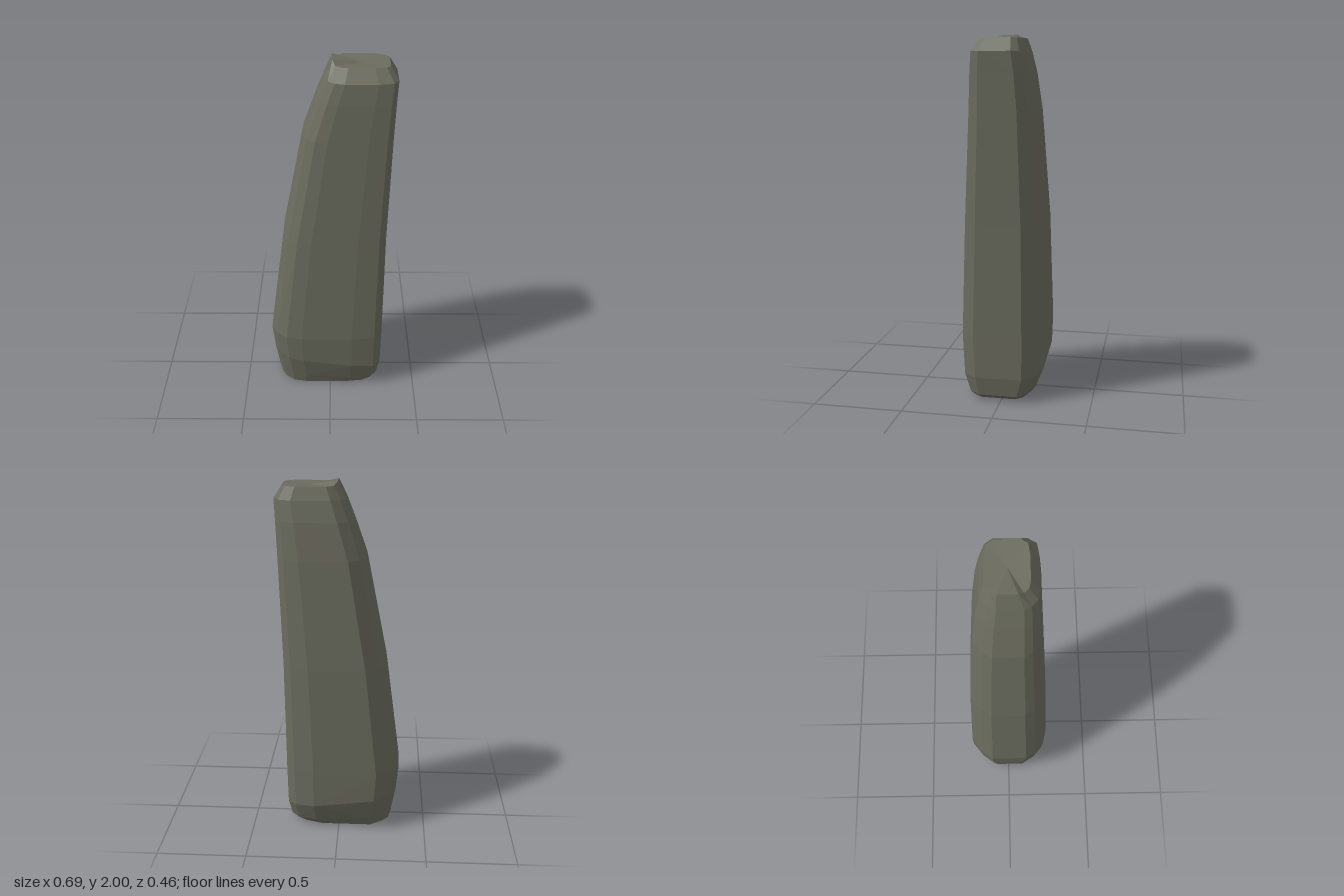
import * as THREE from 'three';

// Outline of the stone seen from above, scaled to -1..1 in x and z
const OUTLINE = [
  [1, 0.62], [0.86, 0.92], [0.45, 1], [-0.45, 1], [-0.72, 0.92], [-0.9, 0.7], [-1, 0.45],
  [-1, -0.45], [-0.86, -0.72], [-0.6, -1], [0.5, -1], [0.85, -0.82], [1, -0.55],
];

// Levels: height, xMin, xMax, zMin, zMax, tilt of the level along x
const LEVELS = [
  [0, -0.29, 0.23, -0.145, 0.175, 0],
  [0.05, -0.305, 0.28, -0.175, 0.19, -0.015],
  [0.18, -0.33, 0.298, -0.222, 0.222, -0.04],
  [0.37, -0.345, 0.302, -0.226, 0.233, 0],
  [1.0, -0.262, 0.308, -0.212, 0.21, 0],
  [1.6, -0.145, 0.328, -0.178, 0.176, 0],
  [1.8, -0.075, 0.337, -0.156, 0.165, 0],
  [1.91, -0.032, 0.344, -0.134, 0.155, 0],
  [1.978, 0.008, 0.302, -0.112, 0.108, 0],
];

function stoneGeometry() {
  const n = OUTLINE.length;
  const top = LEVELS.length - 1;
  const points = [];
  const index = [];
  LEVELS.forEach(([y, x0, x1, z0, z1, tilt], level) => {
    for (const [u, v] of OUTLINE) {
      // The top rim rises to a lip on the leaning side
      const lip = level === top && u < -0.95 ? 0.022 : 0;
      points.push((x0 + x1) / 2 + u * (x1 - x0) / 2, y + tilt * u + lip, (z0 + z1) / 2 + v * (z1 - z0) / 2);
    }
  });
  // Sides
  for (let r = 0; r < top; r++) {
    for (let i = 0; i < n; i++) {
      const j = (i + 1) % n;
      const a = r * n + i, b = r * n + j, c = a + n, d = b + n;
      if ((r + i) % 2) index.push(a, c, b, b, c, d);
      else index.push(a, c, d, a, d, b);
    }
  }
  // Flat base and slightly hollow top
  const base = points.length / 3;
  points.push(-0.03, 0, 0.015, 0.16, 1.97, 0);
  for (let i = 0; i < n; i++) {
    const j = (i + 1) % n;
    index.push(base, i, j, base + 1, top * n + j, top * n + i);
  }
  const geometry = new THREE.BufferGeometry();
  geometry.setAttribute('position', new THREE.Float32BufferAttribute(points, 3));
  geometry.setIndex(index);
  const faceted = geometry.toNonIndexed();
  faceted.computeVertexNormals();
  return faceted;
}

export function createModel() {
  const group = new THREE.Group();
  group.name = 'standingStone';
  const stone = new THREE.MeshStandardMaterial({ color: 0x6b6c5e });
  stone.name = 'mossy grey stone';
  const mesh = new THREE.Mesh(stoneGeometry(), stone);
  mesh.name = 'stone';
  group.add(mesh);
  return group;
}
